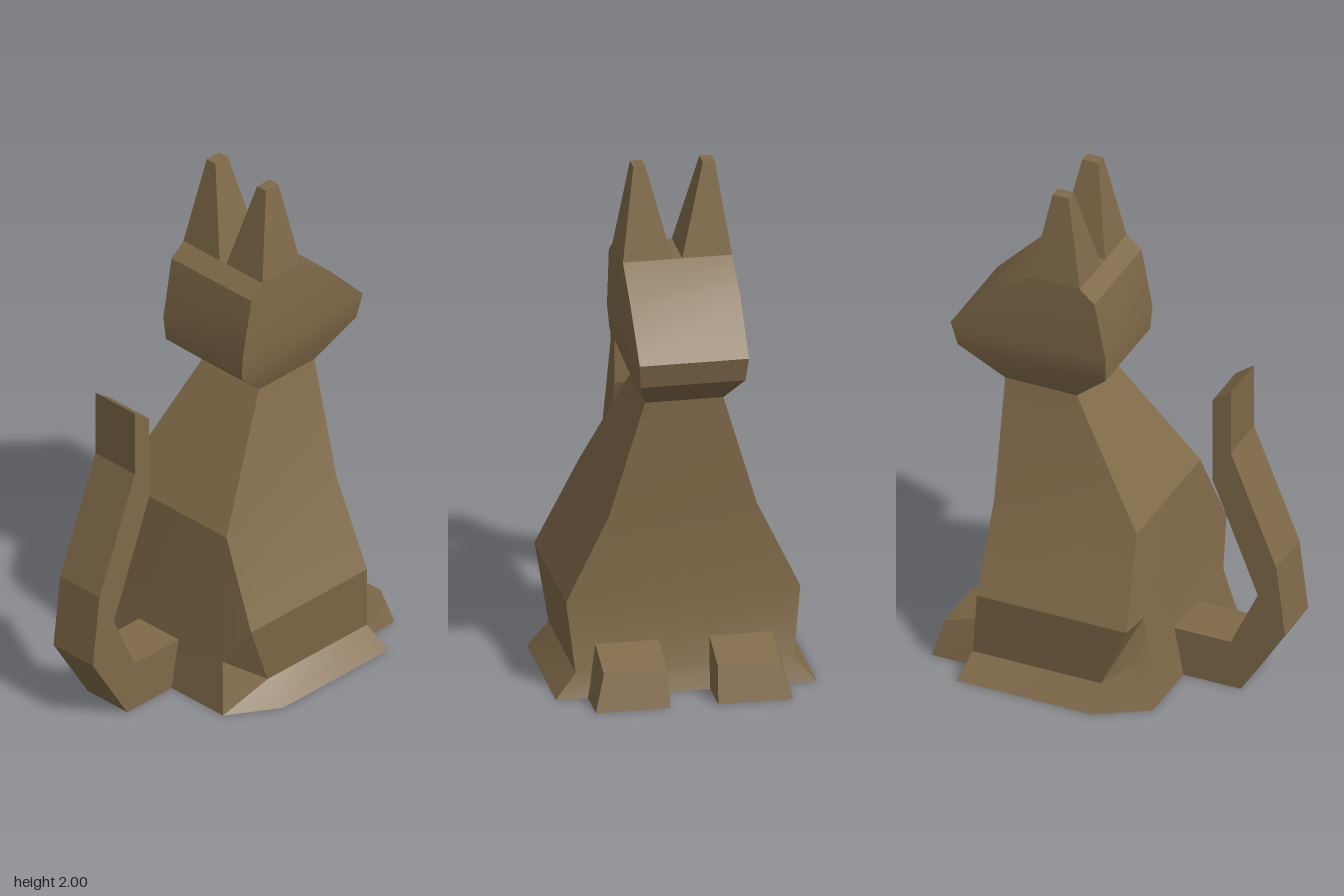
import * as THREE from 'three';
import { toCreasedNormals } from 'three/addons/utils/BufferGeometryUtils.js';

// Closed loft through rings of [x, y, z], each clockwise when seen from above
function loft(rings) {
  const pos = [];
  const tri = (a, b, c) => {
    const t = new THREE.Triangle(...[a, b, c].map(p => new THREE.Vector3(...p)));
    if (t.getArea() > 1e-7) pos.push(...a, ...b, ...c);
  };
  const n = rings[0].length;
  for (let r = 0; r < rings.length - 1; r++) {
    const lo = rings[r], up = rings[r + 1];
    for (let i = 0; i < n; i++) {
      const j = (i + 1) % n;
      tri(lo[i], up[i], lo[j]);
      tri(up[i], up[j], lo[j]);
    }
  }
  const bottom = rings[0], top = rings[rings.length - 1];
  for (let i = 1; i < n - 1; i++) {
    tri(bottom[0], bottom[i], bottom[i + 1]);
    tri(top[0], top[i + 1], top[i]);
  }
  const g = new THREE.BufferGeometry();
  g.setAttribute('position', new THREE.Float32BufferAttribute(pos, 3));
  return toCreasedNormals(g, 0.45);
}

// Completes a ring from the points of its +x half
const symmetric = half => [...half, ...half.map(([x, y, z]) => [-x, y, z]).reverse()];

// Rectangular ring; y may differ between the -z edge and the +z edge
const rect = (x0, x1, z0, z1, y0, y1 = y0) =>
  [[x1, y0, z0], [x1, y1, z1], [x0, y1, z1], [x0, y0, z0]];

export function createModel() {
  const model = new THREE.Group();
  model.name = 'sittingCat';
  const fur = new THREE.MeshStandardMaterial({ color: 0x806a49 });
  fur.name = 'brown fur';
  const add = (name, geometry) => {
    const mesh = new THREE.Mesh(geometry, fur);
    mesh.name = name;
    model.add(mesh);
  };

  // Body: each ring lists chest corner, flank corner and rump corner
  add('body', loft([
    [[0.49, 0, -0.5], [0.49, 0, 0.05], [0.37, 0, 0.243]],
    [[0.41, 0.09, -0.47], [0.41, 0.09, 0.05], [0.33, 0.2, 0.205]],
    [[0.44, 0.36, -0.44], [0.44, 0.36, 0.167], [0.315, 0.36, 0.182]],
    [[0.28, 0.69, -0.443], [0.28, 0.69, 0.135], [0.28, 0.69, 0.135]],
    [[0.147, 1.14, -0.46], [0.147, 1.14, -0.17], [0.147, 1.14, -0.17]],
  ].map(symmetric)));

  // Head: rises from the neck, muzzle towards -z
  add('head', loft([
    rect(-0.147, 0.147, -0.46, -0.17, 1.14),
    rect(-0.197, 0.197, -0.63, -0.03, 1.27),
    rect(-0.205, 0.205, -0.655, -0.025, 1.365),
    rect(-0.207, 0.207, -0.48, -0.07, 1.545, 1.6),
    rect(-0.205, 0.205, -0.33, -0.13, 1.65),
  ]));

  // Ears and front paws, mirrored
  for (const s of [-1, 1]) {
    const sided = (a, b, ...rest) =>
      s > 0 ? rect(a, b, ...rest) : rect(-b, -a, ...rest);
    add(s > 0 ? 'earPlusX' : 'earMinusX', loft([
      sided(0.018, 0.205, -0.33, -0.13, 1.65),
      sided(0.108, 0.153, -0.265, -0.2, 2),
    ]));
    add(s > 0 ? 'pawPlusX' : 'pawMinusX', loft([
      sided(0.09, 0.37, -0.655, -0.4, 0),
      sided(0.095, 0.333, -0.62, -0.4, 0.138, 0.215),
    ]));
  }

  // Tail: side outline as (z, y), extruded across x
  const outline = [
    [0.1, 0], [0.475, 0], [0.655, 0.285], [0.62, 0.57], [0.435, 1.025], [0.435, 1.29],
    [0.36, 1.235], [0.36, 0.89], [0.545, 0.43], [0.435, 0.195], [0.1, 0.195],
  ].map(([z, y]) => new THREE.Vector2(-z, y));
  const tail = new THREE.ExtrudeGeometry(new THREE.Shape(outline), { depth: 0.204, bevelEnabled: false });
  tail.translate(0, 0, -0.102);
  tail.rotateY(Math.PI / 2);
  add('tail', tail);

  return model;
}
